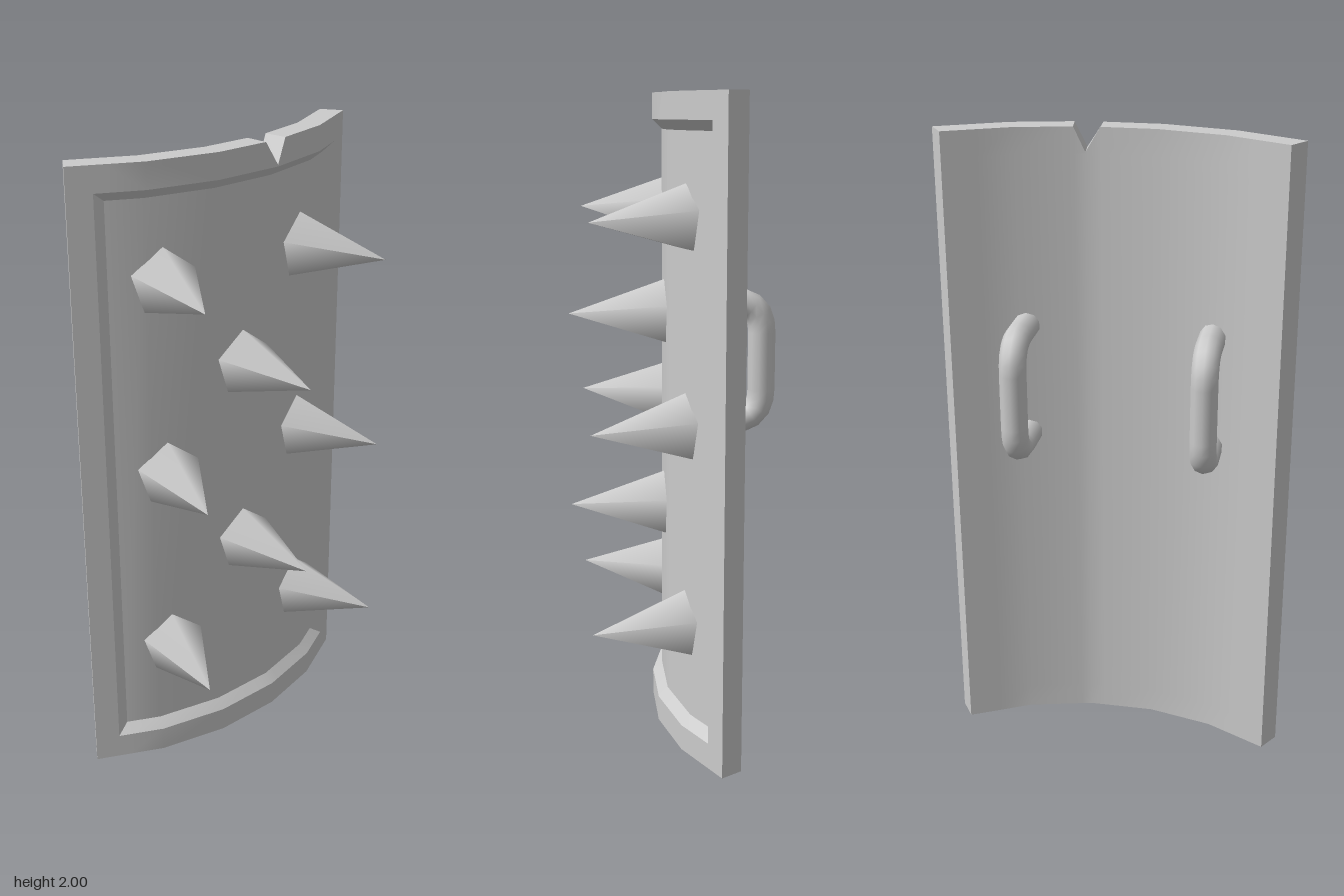
import * as THREE from 'three';
import { toCreasedNormals } from 'three/addons/utils/BufferGeometryUtils.js';

const R = 0.985, CZ = -0.95;              // arc of the shield, centre at (0, CZ)
const STEP = THREE.MathUtils.degToRad(13.28); // five flat facets
const THICK = 0.075, RECESS = 0.03;

// Point on the faceted arc at width x, pushed inwards by depth
function arcPoint(x, y, depth) {
  const corners = [0.5, 1.5, 2.5].map(k => [R * Math.sin(k * STEP), R * Math.cos(k * STEP)]);
  const ax = Math.abs(x);
  let r = corners[0][1];
  for (let i = 0; i < 2; i++) {
    const [x0, r0] = corners[i], [x1, r1] = corners[i + 1];
    if (ax > x0) r = r0 + (r1 - r0) * (ax - x0) / (x1 - x0);
  }
  const k = 1 - depth / R;
  return [x * k, y, CZ + r * k];
}

// Curved slab with a bevelled recess in front and a notch in the top edge
function shieldGeometry() {
  const c = [0.5, 1.5, 2.5].map(k => R * Math.sin(k * STEP));
  const xs = [-c[2], -0.47, -0.44, -c[1], -c[0], 0.065, c[0], 0.15, c[1], 0.44, 0.47, c[2]];
  const ys = [0, 0.08, 0.11, 1.89, 1.92, 2];
  const nx = xs.length - 1, ny = ys.length - 1;
  const height = (i, j) => (j === ny && i === 6 ? 1.925 : ys[j]);
  const front = (i, j) => {
    const inside = i > 1 && i < nx - 1 && j > 1 && j < ny - 1;
    return arcPoint(xs[i], height(i, j), inside ? RECESS : 0);
  };
  const back = (i, j) => arcPoint(xs[i], height(i, j), THICK);
  const pos = [];
  const quad = (a, b, d, e, flip) => {
    if (flip) pos.push(...a, ...b, ...e, ...b, ...d, ...e);
    else pos.push(...a, ...b, ...d, ...a, ...d, ...e);
  };
  for (let i = 0; i < nx; i++) {
    for (let j = 0; j < ny; j++) {
      // diagonals run towards the middle so the recess corners are mitred
      const flip = (i < nx / 2) !== (j < ny / 2);
      quad(front(i, j), front(i + 1, j), front(i + 1, j + 1), front(i, j + 1), flip);
      quad(back(i + 1, j), back(i, j), back(i, j + 1), back(i + 1, j + 1));
    }
    quad(front(i, ny), front(i + 1, ny), back(i + 1, ny), back(i, ny));
    quad(back(i, 0), back(i + 1, 0), front(i + 1, 0), front(i, 0));
  }
  for (let j = 0; j < ny; j++) {
    quad(back(0, j), front(0, j), front(0, j + 1), back(0, j + 1));
    quad(front(nx, j), back(nx, j), back(nx, j + 1), front(nx, j + 1));
  }
  const g = new THREE.BufferGeometry();
  g.setAttribute('position', new THREE.Float32BufferAttribute(pos, 3));
  return toCreasedNormals(g, THREE.MathUtils.degToRad(22));
}

// Five-sided spike along +z, one corner of its base upwards
function spikeGeometry() {
  const g = new THREE.ConeGeometry(0.105, 0.3, 5);
  g.rotateY(Math.PI);
  g.rotateX(Math.PI / 2);
  return g.translate(0, 0, 0.15);
}

// Grip: two legs out of the back joined by an upright bar
function handleGeometry() {
  const v = (y, z) => new THREE.Vector3(0, y, z);
  const top = 1.395, bottom = 1.04, zOut = -0.265, zBend = -0.18, bend = 0.09;
  const path = new THREE.CurvePath();
  path.add(new THREE.LineCurve3(v(top, -0.065), v(top, zBend)));
  path.add(new THREE.QuadraticBezierCurve3(v(top, zBend), v(top, zOut), v(top - bend, zOut)));
  path.add(new THREE.LineCurve3(v(top - bend, zOut), v(bottom + bend, zOut)));
  path.add(new THREE.QuadraticBezierCurve3(v(bottom + bend, zOut), v(bottom, zOut), v(bottom, zBend)));
  path.add(new THREE.LineCurve3(v(bottom, zBend), v(bottom, -0.065)));
  return new THREE.TubeGeometry(path, 24, 0.041, 10);
}

export function createModel() {
  const model = new THREE.Group();
  model.name = 'spikedShield';
  const material = new THREE.MeshStandardMaterial({ color: 0xcccccc });
  const add = (name, geometry) => {
    const mesh = new THREE.Mesh(geometry, material);
    mesh.name = name;
    model.add(mesh);
    return mesh;
  };

  add('shieldPanel', shieldGeometry());

  // Spikes: rows alternate between a pair at the sides and a single one
  const spike = spikeGeometry();
  const floorR = R - RECESS;
  for (let row = 0; row < 5; row++) {
    const angles = row % 2 ? [0] : [-0.29, 0.29];
    for (const a of angles) {
      const mesh = add('spike', spike);
      mesh.position.set(floorR * Math.sin(a), 0.395 + row * 0.31, CZ + floorR * Math.cos(a) - 0.004);
      mesh.rotation.y = a;
    }
  }

  // Handles on the back
  const handle = handleGeometry();
  add('leftHandle', handle).position.x = 0.287;
  add('rightHandle', handle).position.x = -0.287;

  return model;
}
